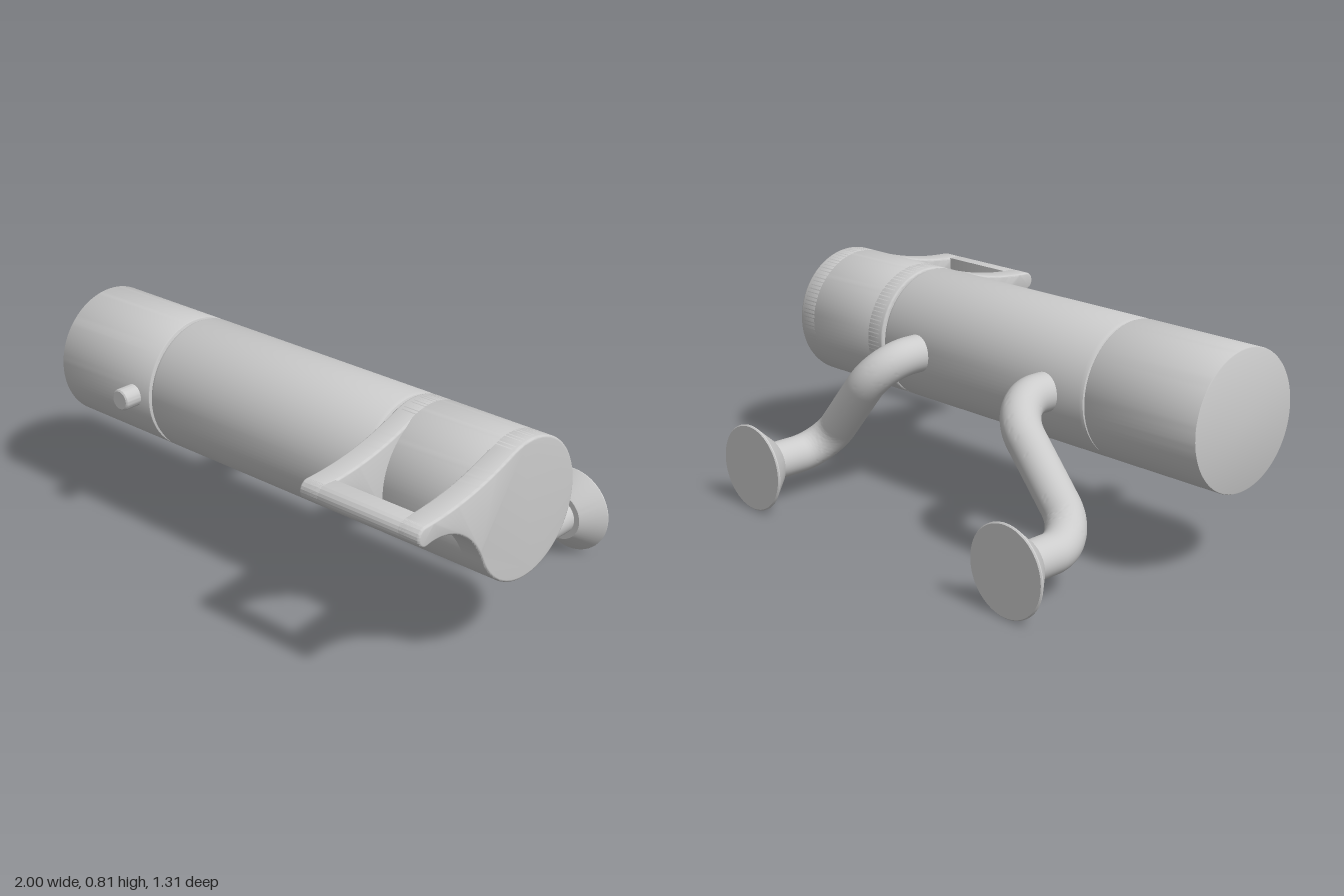
import * as THREE from 'three';
import { toCreasedNormals } from 'three/addons/utils/BufferGeometryUtils.js';

const material = new THREE.MeshStandardMaterial({ color: 0xcccccc });
const CY = 0.567, CZ = 0.105, R = 0.248; // barrel axis and radius

function add(group, name, geometry) {
  const mesh = new THREE.Mesh(toCreasedNormals(geometry, 0.6), material);
  mesh.name = name;
  group.add(mesh);
  return mesh;
}

// Solid of revolution from [radius, height] pairs
function lathe(points, segments = 96) {
  return new THREE.LatheGeometry(points.map(([r, h]) => new THREE.Vector2(r, h)), segments);
}

// Drum along x with softened ends
function drum(x0, x1, r, c0, c1) {
  return lathe([[0, x0], [r - c0, x0], [r - c0 * 0.3, x0 + c0 * 0.3], [r, x0 + c0],
    [r, x1 - c1], [r - c1 * 0.3, x1 - c1 * 0.3], [r - c1, x1], [0, x1]])
    .rotateZ(-Math.PI / 2).translate(0, CY, CZ);
}

// Profile drawn in the (z, y) plane, extruded from x0 to x1
function slab(shape, x0, x1, bevel) {
  return new THREE.ExtrudeGeometry(shape, {
    depth: x1 - x0 - 2 * bevel, bevelEnabled: true, bevelThickness: bevel,
    bevelSize: bevel, bevelOffset: -bevel, bevelSegments: 3, curveSegments: 48,
  }).rotateY(-Math.PI / 2).translate(x1 - bevel, 0, 0);
}

// Teardrop side plate: the drum circle drawn out into a lever
function leverShape() {
  const s = new THREE.Shape();
  const a0 = Math.atan2(0.23, 0.095), a1 = -0.42;
  s.moveTo(CZ + R * Math.cos(a0), CY + R * Math.sin(a0));
  s.bezierCurveTo(0.34, 0.738, 0.48, 0.71, 0.62, 0.707);
  s.absarc(0.62, 0.672, 0.035, Math.PI / 2, -1.75, true);
  s.bezierCurveTo(0.5, 0.66, 0.385, 0.59, CZ + R * Math.cos(a1), CY + R * Math.sin(a1));
  s.absarc(CZ, CY, R, a1, a0 - 2 * Math.PI, true);
  return s;
}

// Rounded bar joining the lever tips
function barShape() {
  const s = new THREE.Shape();
  s.moveTo(0.575, 0.708);
  s.lineTo(0.62, 0.707);
  s.absarc(0.62, 0.672, 0.035, Math.PI / 2, -Math.PI / 2, true);
  s.lineTo(0.575, 0.641);
  s.closePath();
  return s;
}

// Polyline with circular-looking right-angle bends
function bentPath(points, bend) {
  const path = new THREE.CurvePath();
  let from = points[0];
  for (let i = 1; i < points.length - 1; i++) {
    const p = points[i];
    const toPrev = points[i - 1].clone().sub(p).normalize();
    const toNext = points[i + 1].clone().sub(p).normalize();
    const at = (dir, d) => p.clone().addScaledVector(dir, d);
    const a = at(toPrev, bend), b = at(toNext, bend);
    path.add(new THREE.LineCurve3(from, a));
    path.add(new THREE.CubicBezierCurve3(a, at(toPrev, bend * 0.448), at(toNext, bend * 0.448), b));
    from = b;
  }
  path.add(new THREE.LineCurve3(from, points[points.length - 1]));
  return path;
}

function createLeg(side) {
  const leg = new THREE.Group();
  leg.name = side > 0 ? 'leftLeg' : 'rightLeg';
  const x0 = side * 0.325, x1 = side * 0.665, y1 = 0.164;
  const path = bentPath([
    new THREE.Vector3(x0, CY, -0.05), new THREE.Vector3(x0, CY, -0.311),
    new THREE.Vector3(x1, y1, -0.311), new THREE.Vector3(x1, y1, -0.58),
  ], 0.14);
  add(leg, 'legTube', new THREE.TubeGeometry(path, 120, 0.07, 40, false));
  // Flared foot with its flat disc facing the back
  add(leg, 'foot', lathe([[0, -0.655], [0.159, -0.655], [0.163, -0.651], [0.163, -0.647],
    [0.097, -0.572], [0.092, -0.568], [0, -0.568]], 64)
    .rotateX(Math.PI / 2).translate(x1, y1, 0));
  return leg;
}

export function createModel() {
  const model = new THREE.Group();
  model.name = 'mountedBarrel';

  // Barrel in three sections with grooves between them
  add(model, 'endCap', drum(-1, -0.518, R, 0.004, 0.006));
  add(model, 'barrel', drum(-0.514, 0.507, R, 0.018, 0.018));
  add(model, 'core', drum(-0.6, 0.6, R - 0.02, 0.002, 0.002));

  // Turning drum with its open lever
  const lever = new THREE.Group();
  lever.name = 'lever';
  model.add(lever);
  add(lever, 'leverDrum', drum(0.53, 0.985, R, 0.002, 0.002));
  add(lever, 'innerSidePlate', slab(leverShape(), 0.513, 0.6, 0.008));
  add(lever, 'outerSidePlate', slab(leverShape(), 0.91, 1, 0.008));
  add(lever, 'gripBar', slab(barShape(), 0.53, 0.985, 0.001));

  // Push button on the end cap
  add(model, 'button', lathe([[0, 0.3], [0.041, 0.3], [0.041, 0.411], [0.0395, 0.416],
    [0.034, 0.42], [0, 0.42]], 40)
    .rotateX(Math.PI / 2).translate(-0.603, CY, 0));

  for (const side of [1, -1]) model.add(createLeg(side));
  return model;
}
